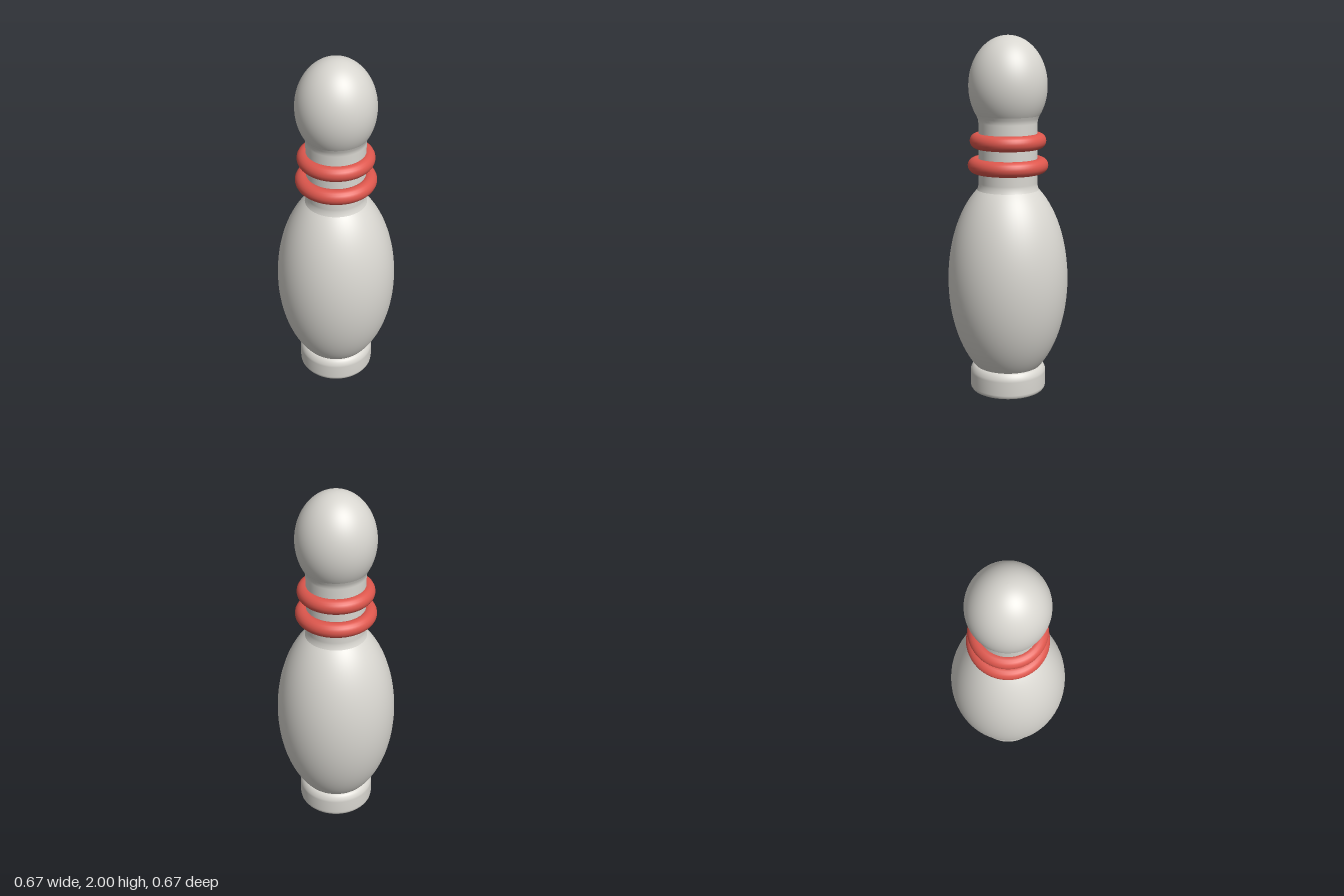
import * as THREE from 'three';

const white = new THREE.MeshStandardMaterial({ color: 0xd8d6d0 });
white.name = 'warm white';
const red = new THREE.MeshStandardMaterial({ color: 0xde574d });
red.name = 'red';

// Points along an ellipse centred on the axis, from height y0 up to y1
function ellipseArc(radius, halfHeight, centerY, y0, y1, steps) {
  const a0 = Math.asin((y0 - centerY) / halfHeight);
  const a1 = Math.asin((y1 - centerY) / halfHeight);
  return Array.from({ length: steps + 1 }, (_, i) => {
    const a = a0 + ((a1 - a0) * i) / steps;
    return new THREE.Vector2(Math.max(0, radius * Math.cos(a)), centerY + halfHeight * Math.sin(a));
  });
}

const points = (list) => list.map(([x, y]) => new THREE.Vector2(x, y));

function lathe(name, profile) {
  const mesh = new THREE.Mesh(new THREE.LatheGeometry(profile, 64), white);
  mesh.name = name;
  return mesh;
}

export function createModel() {
  const group = new THREE.Group();
  group.name = 'pin';

  // Foot with rounded rims
  group.add(lathe('foot', points([
    [0, 0], [0.185, 0], [0.195, 0.001], [0.207, 0.006], [0.213, 0.015], [0.215, 0.027],
    [0.215, 0.105], [0.213, 0.118], [0.207, 0.132], [0.199, 0.143], [0.19, 0.15], [0.17, 0.156],
  ])));

  // Egg-shaped belly
  group.add(lathe('belly', ellipseArc(0.336, 0.6, 0.645, 0.12, 1.165, 40)));

  // Straight neck with small flares into belly and head
  group.add(lathe('neck', points([
    [0.174, 1.155], [0.167, 1.17], [0.163, 1.188], [0.162, 1.2],
    [0.162, 1.53], [0.163, 1.543], [0.167, 1.556], [0.174, 1.572],
  ])));

  // Head
  group.add(lathe('head', ellipseArc(0.215, 0.27, 1.73, 1.55, 2, 36)));

  // Two rings around the neck: [name, height, major radius]
  for (const [name, y, radius] of [['upperRing', 1.432, 0.168], ['lowerRing', 1.297, 0.18]]) {
    const ring = new THREE.Mesh(new THREE.TorusGeometry(radius, 0.042, 20, 64), red);
    ring.name = name;
    ring.rotation.x = Math.PI / 2;
    ring.position.y = y;
    group.add(ring);
  }
  return group;
}
